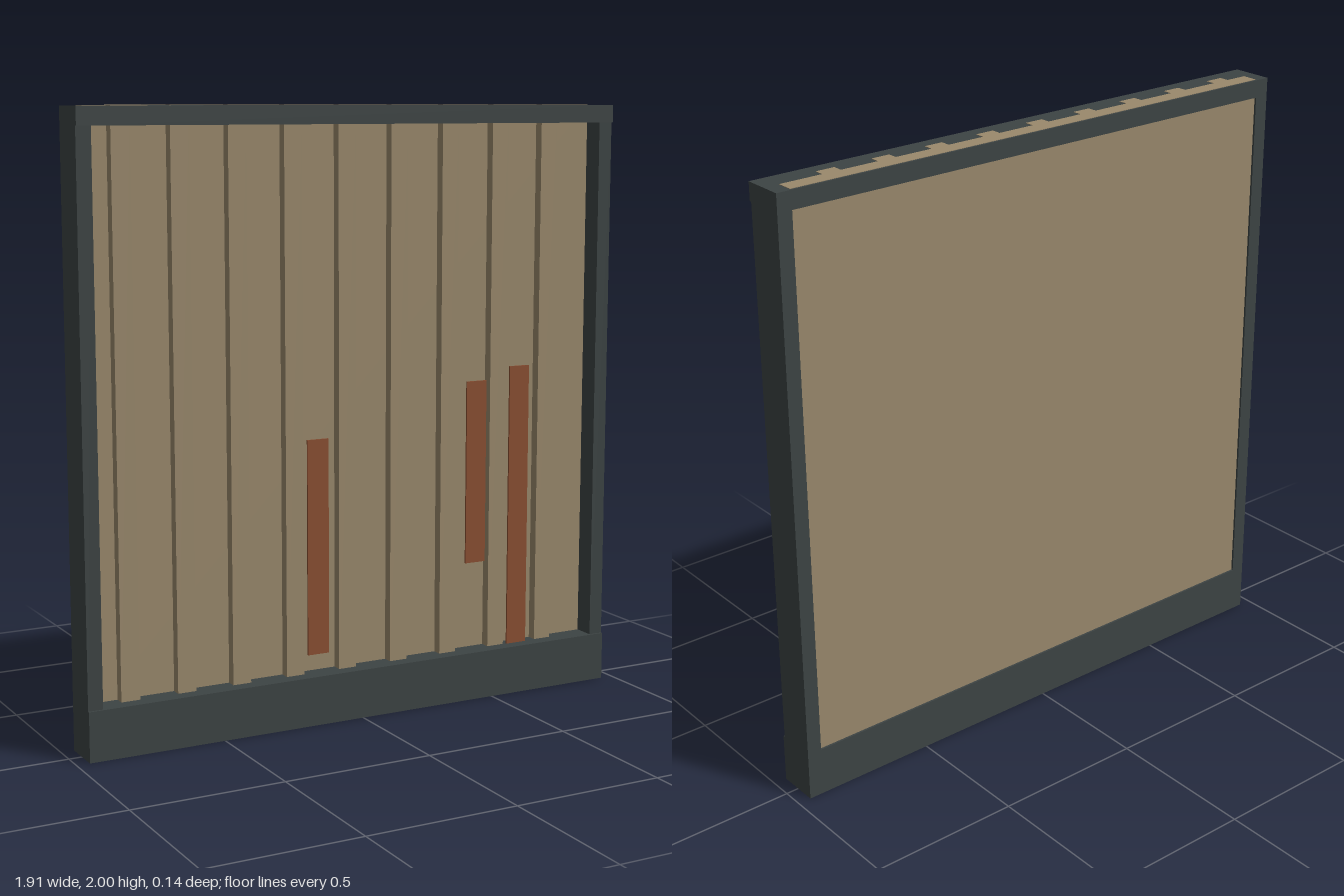
import * as THREE from 'three';

const paint = (name, color) => {
  const material = new THREE.MeshStandardMaterial({ color });
  material.name = name;
  return material;
};

export function createModel() {
  const model = new THREE.Group();
  model.name = 'framedWallPanel';
  const steel = paint('darkSteel', 0x3d4444);
  const tan = paint('tanSheet', 0x9a896c);
  const rust = paint('rust', 0x8a4f32);

  // Box given by its lower and upper corners
  const box = (name, material, [x0, y0, z0], [x1, y1, z1]) => {
    const mesh = new THREE.Mesh(new THREE.BoxGeometry(x1 - x0, y1 - y0, z1 - z0), material);
    mesh.position.set((x0 + x1) / 2, (y0 + y1) / 2, (z0 + z1) / 2);
    mesh.name = name;
    model.add(mesh);
  };

  const W = 0.957, inner = 0.908, back = -0.07;

  // Frame: the rails stand slightly proud of the posts
  box('bottomRail', steel, [-W, 0, back], [W, 0.163, 0.07]);
  box('topRail', steel, [-W, 1.94, back], [W, 1.9985, 0.07]);
  box('rightPost', steel, [-W, 0.163, back], [-inner, 1.94, 0.063]);
  box('leftPost', steel, [inner, 0.163, back], [W, 1.94, 0.063]);

  // Sheet and its vertical ribs, let into the top rail
  box('sheet', tan, [-inner, 0.14, -0.063], [inner, 2, -0.01]);
  for (let i = 0; i < 9; i++) {
    const x = -0.832 + i * 0.1917;
    box('rib', tan, [x, 0.14, -0.012], [x + 0.063, 2, 0.023]);
  }

  // Thin rust streaks between the ribs: x, bottom, top
  for (const [x, y0, y1] of [[-0.143, 0.226, 0.938], [0.455, 0.466, 1.087], [0.624, 0.163, 1.128]]) {
    box('rustStreak', rust, [x - 0.038, y0, 0.021], [x + 0.038, y1, 0.027]);
  }
  return model;
}
